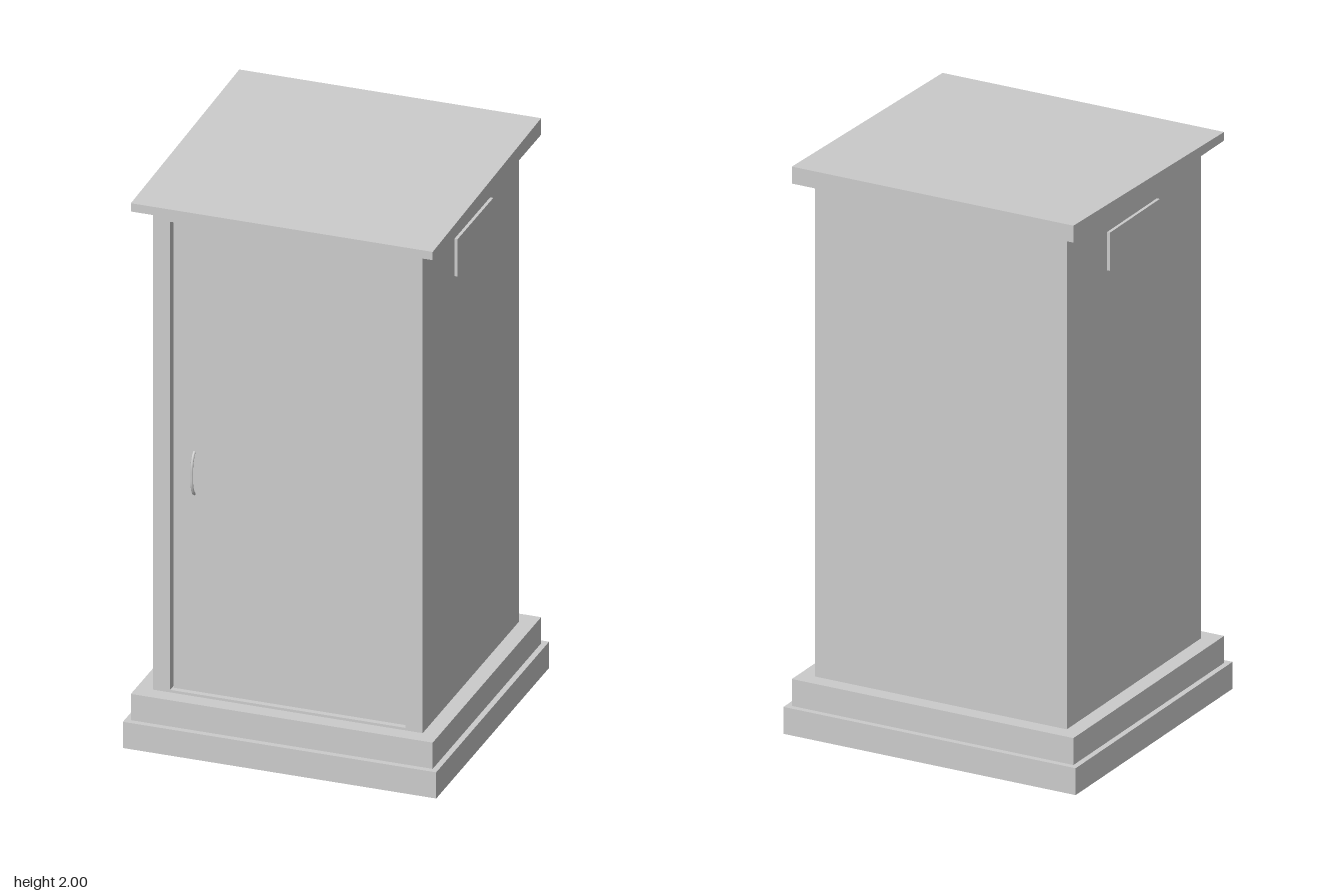
import * as THREE from 'three';

const material = new THREE.MeshStandardMaterial({ color: 0xcccccc, flatShading: true });
const smooth = new THREE.MeshStandardMaterial({ color: 0xcccccc });

export function createModel() {
  const cabinet = new THREE.Group();
  cabinet.name = 'cabinet';

  const add = (name, geometry, mat = material) => {
    const mesh = new THREE.Mesh(geometry, mat);
    mesh.name = name;
    cabinet.add(mesh);
    return mesh;
  };
  // Box given by its extents on each axis
  const box = (name, x0, x1, y0, y1, z0, z1) =>
    add(name, new THREE.BoxGeometry(x1 - x0, y1 - y0, z1 - z0))
      .position.set((x0 + x1) / 2, (y0 + y1) / 2, (z0 + z1) / 2);

  const W = 0.471, D = 0.451, T = 0.06;   // body half width, half depth, wall thickness
  const bottom = 0.19, top = 1.94;
  const inner = W - T;

  // Stepped plinth
  box('lowerPlinth', -0.547, 0.547, 0, 0.095, -0.528, 0.528);
  box('upperPlinth', -0.527, 0.527, 0.095, bottom, -0.507, 0.507);

  // Hollow body: side walls with a vent plate through each, back wall, lintel and sill
  for (const [side, s] of [['left', 1], ['right', -1]]) {
    const span = (a, b) => (s > 0 ? [a, b] : [-b, -a]);
    box(side + 'Wall', ...span(inner, W), bottom, top, -D, D);
    box(side + 'Vent', ...span(inner - 0.008, 0.482), 1.715, 1.85, -0.18, 0.155);
  }
  box('backWall', -inner, inner, bottom, top, -D, -D + T);
  box('lintel', -inner, inner, 1.897, top, D - T, D);
  box('sill', -inner, inner, bottom, 0.199, D - T, D);

  // Door, set slightly back, with a narrow gap on the handle side
  const doorFront = D - 0.014;
  box('door', -0.404, inner - 0.004, 0.202, 1.895, doorFront - 0.035, doorFront);

  // Bowed pull handle
  const path = new THREE.CatmullRomCurve3([
    [0.915, doorFront - 0.004], [0.925, doorFront + 0.008], [0.955, 0.458],
    [0.992, 0.460], [1.03, 0.458], [1.06, doorFront + 0.008], [1.07, doorFront - 0.004],
  ].map(([y, z]) => new THREE.Vector3(-0.332, y, z)));
  add('handle', new THREE.TubeGeometry(path, 32, 0.005, 8), smooth);

  // Roof slab, falling from back to front
  const roof = new THREE.BoxGeometry(1.054, 0.06, 1.014);
  const p = roof.attributes.position;
  for (let i = 0; i < p.count; i++) {
    if (p.getY(i) > 0 && p.getZ(i) > 0) p.setY(i, 0);
  }
  roof.computeVertexNormals();
  add('roof', roof).position.y = 1.97;

  return cabinet;
}
